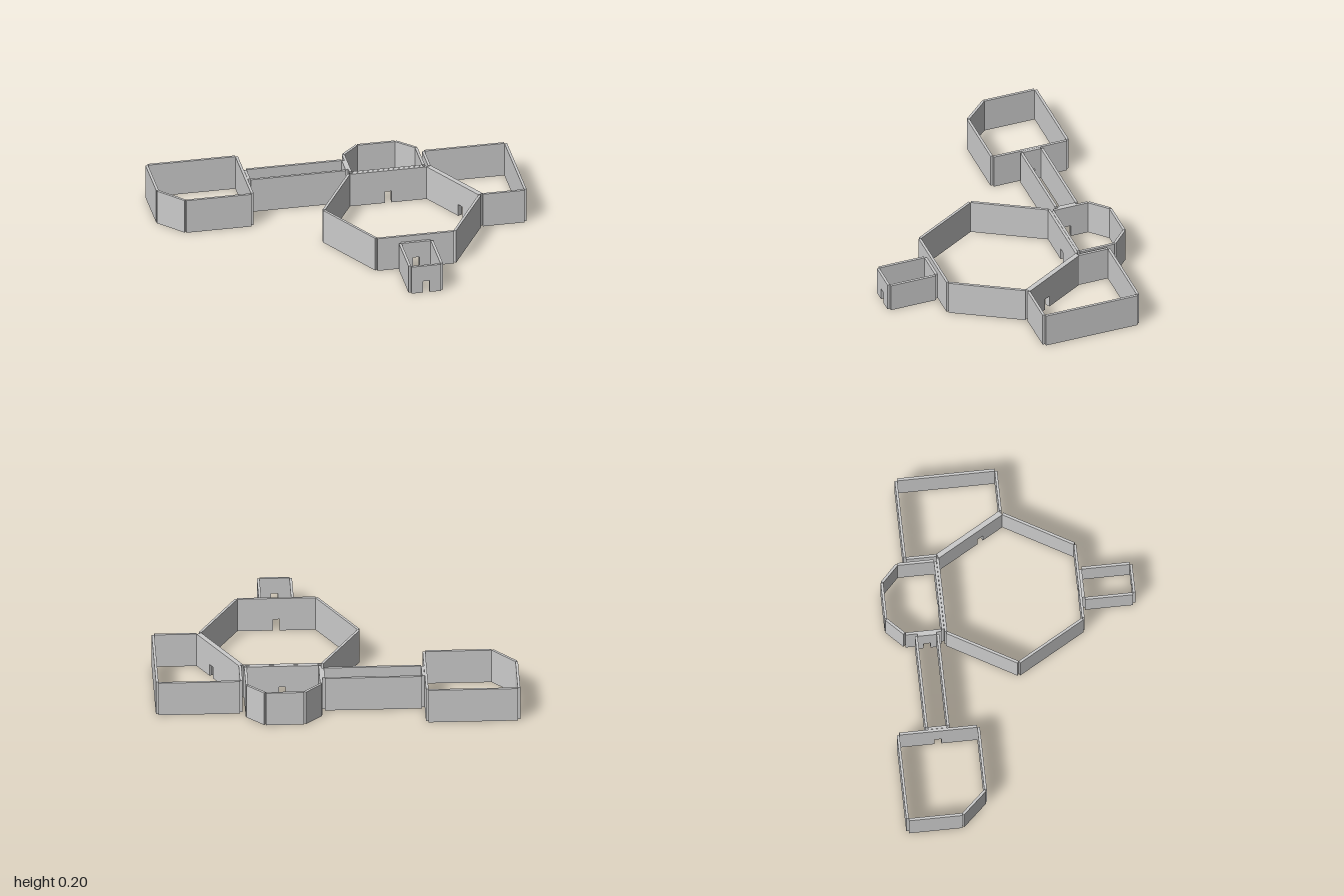
import * as THREE from 'three';

const T = 0.0145;      // wall thickness
const DOOR_W = 0.037;
const DOOR_H = 0.07;
const material = new THREE.MeshStandardMaterial({ color: 0xcccccc, flatShading: true });

// One wall standing outside the floor edge a-b, optionally with a doorway centred at fraction "door"
function wall(a, b, height, door) {
  const dx = b[0] - a[0], dz = b[1] - a[1];
  const len = Math.hypot(dx, dz);
  const s = new THREE.Shape();
  s.moveTo(0, 0);
  if (door !== undefined) {
    const l = len * door - DOOR_W / 2, r = l + DOOR_W;
    s.lineTo(l, 0);
    s.lineTo(l, DOOR_H);
    s.lineTo(r, DOOR_H);
    s.lineTo(r, 0);
  }
  s.lineTo(len, 0);
  s.lineTo(len, height);
  s.lineTo(0, height);
  s.closePath();
  const geo = new THREE.ExtrudeGeometry(s, { depth: T, bevelEnabled: false });
  geo.translate(0, 0, -T);
  const mesh = new THREE.Mesh(geo, material);
  mesh.position.set(a[0], 0, a[1]);
  mesh.rotation.y = -Math.atan2(dz, dx);
  return mesh;
}

// A ring of walls around a floor outline [x, z], clockwise from above; doors = { wallIndex: fraction }
function room(name, floor, doors, height = 0.2) {
  const g = new THREE.Group();
  g.name = name;
  floor.forEach((p, i) => {
    const w = wall(p, floor[(i + 1) % floor.length], height, doors[i]);
    w.name = `${name}Wall${i + 1}`;
    g.add(w);
  });
  return g;
}

const rect = (x0, x1, z0, z1) => [[x0, z0], [x1, z0], [x1, z1], [x0, z1]];

export function createModel() {
  const model = new THREE.Group();
  model.name = 'floorPlan';

  // Hexagonal main hall; wall 0 is the back wall
  const hex = [];
  for (let i = 0; i < 6; i++) {
    const a = (-120 + i * 60) * Math.PI / 180;
    hex.push([0.297 + 0.43 * Math.cos(a), 0.0125 + 0.43 * Math.sin(a)]);
  }
  model.add(room('mainHall', hex, { 0: 0.5, 1: 0.65, 3: 0.5 }));

  // Entrance porch, slightly lower
  model.add(room('porch', rect(0.213, 0.377, 0.415, 0.68), { 0: 0.5, 2: 0.5 }, 0.165));

  // Back chamber with two cut corners
  model.add(room('backChamber', [
    [0.19, -0.68], [0.4, -0.68], [0.493, -0.59],
    [0.493, -0.39], [0.098, -0.39], [0.098, -0.59],
  ], { 3: 0.495, 4: 0.4 }));

  // Side room sharing the hall's slanted wall
  model.add(room('leftRoom', [
    [0.537, -0.54], [0.985, -0.54], [0.985, -0.002], [0.752, -0.002], [0.537, -0.372],
  ], { 3: 0.35 }));

  // Corridor to the far room
  model.add(room('corridor', rect(-0.465, 0.069, -0.525, -0.42), { 1: 0.5, 3: 0.5 }));

  // Far room with one cut corner
  model.add(room('farRoom', [
    [-0.985, -0.685], [-0.495, -0.685], [-0.495, -0.255], [-0.86, -0.255], [-0.985, -0.39],
  ], { 1: 0.495 }));

  return model;
}
